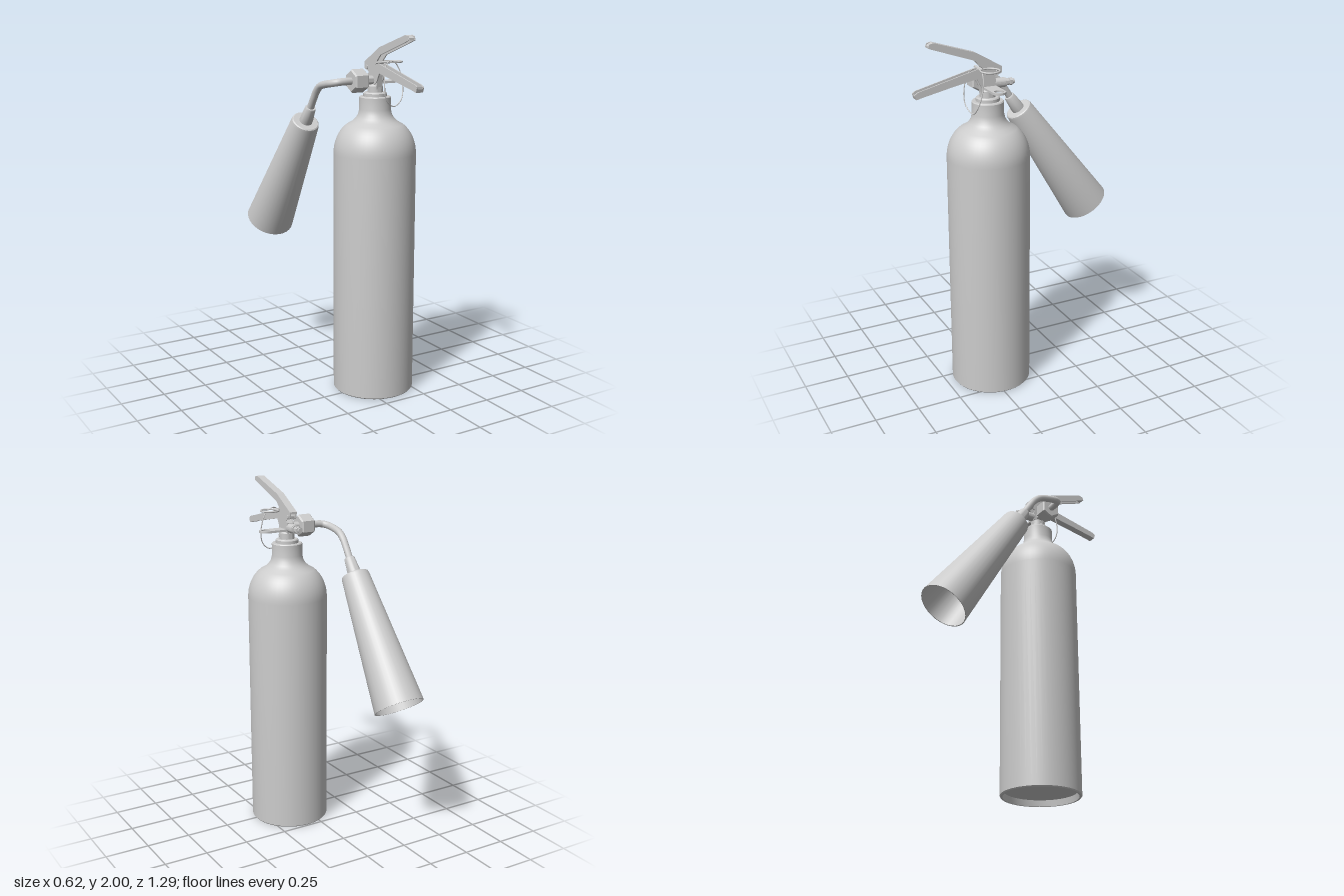
import * as THREE from 'three';
import { toCreasedNormals } from 'three/addons/utils/BufferGeometryUtils.js';

const CX = 0.085, CZ = 0.23; // bottle axis
const PORT_Y = 1.747;        // height of the hose outlet

export function createModel() {
  const root = new THREE.Group();
  const mat = new THREE.MeshStandardMaterial({ color: 0xcccccc });

  const add = (name, geo, x = 0, y = 0, z = 0, parent = root) => {
    const m = new THREE.Mesh(geo, mat);
    m.name = name;
    m.position.set(x, y, z);
    parent.add(m);
    return m;
  };
  const lathe = (pts, segs = 40) => toCreasedNormals(
    new THREE.LatheGeometry(pts.map(p => new THREE.Vector2(...p)), segs), Math.PI / 6);
  // Capped cylinders lying along x or z
  const rod = (r, len, axis, segs = 20) => {
    const g = new THREE.CylinderGeometry(r, r, len, segs);
    if (axis === 'x') g.rotateZ(Math.PI / 2);
    if (axis === 'z') g.rotateX(Math.PI / 2);
    return toCreasedNormals(g, Math.PI / 5);
  };
  const tube = (pts, r, segs, closed = false) => new THREE.TubeGeometry(
    new THREE.CatmullRomCurve3(pts.map(p => new THREE.Vector3(...p)), closed, 'centripetal'), segs, r, 12, closed);
  // Side profile in (z, y), extruded to a width centred on x
  const profile = (name, pts, width, x, parent = root) => {
    const g = new THREE.ExtrudeGeometry(new THREE.Shape(pts.map(p => new THREE.Vector2(...p))),
      { depth: width, bevelEnabled: false });
    g.rotateY(-Math.PI / 2);
    return add(name, g, x + width / 2, 0, 0, parent);
  };

  // Bottle with recessed underside, rounded shoulder and flared neck
  const bottle = [[0, 0.035], [0.205, 0.035], [0.21, 0], [0.22, 0], [0.225, 0.006], [0.225, 1.35]];
  for (let i = 1; i <= 9; i++) {
    const a = i / 9 * 1.02;
    bottle.push([0.075 + 0.15 * Math.cos(a), 1.35 + 0.185 * Math.sin(a)]);
  }
  bottle.push([0.124, 1.524], [0.104, 1.543], [0.092, 1.563], [0.086, 1.59], [0.086, 1.655], [0.082, 1.66], [0, 1.66]);
  add('bottle', lathe(bottle, 48), CX, 0, CZ);

  // Valve collar and stem
  add('valveCollar', lathe([[0, 1.655], [0.064, 1.655], [0.064, 1.676], [0.058, 1.682],
    [0.042, 1.682], [0.042, 1.715], [0.03, 1.725], [0, 1.725]], 32), CX, 0, CZ);
  profile('valveBody', [[0.27, 1.7], [0.28, 1.77], [0.285, 1.82], [0.24, 1.83], [0.205, 1.79],
    [0.19, 1.775], [0.19, 1.715], [0.21, 1.7]], 0.036, CX);
  add('valveStem', new THREE.CylinderGeometry(0.012, 0.012, 0.06, 16), CX, 1.82, 0.225);

  // Safety fitting pointing to the back
  [[0.026, 0.06, 0.165], [0.018, 0.03, 0.123], [0.024, 0.012, 0.132], [0.012, 0.03, 0.105],
    [0.021, 0.016, 0.097], [0.014, 0.012, 0.083]].forEach(([r, len, z], i) =>
    add('reliefFitting' + i, rod(r, len, 'z', i === 4 ? 6 : 20), CX, PORT_Y, z));

  // Grip levers as folded channels: two cheeks and a web
  const lever = (name, outline, edge, dy) => {
    const g = new THREE.Group();
    g.name = name;
    root.add(g);
    for (const s of [-1, 1]) profile(name + 'Cheek', outline, 0.007, CX + s * 0.0185, g);
    const inner = edge.map(([z, y]) => [z, y + dy]).reverse();
    profile(name + 'Web', [...edge, ...inner], 0.044, CX, g);
  };
  lever('upperLever',
    [[0.565, 1.975], [0.558, 1.995], [0.535, 2], [0.3, 1.925], [0.155, 1.84], [0.158, 1.805], [0.2, 1.79],
      [0.245, 1.815], [0.285, 1.86], [0.31, 1.885], [0.54, 1.965]],
    [[0.562, 1.985], [0.535, 2], [0.3, 1.925], [0.155, 1.84]], -0.012);
  lever('lowerHandle',
    [[0.63, 1.755], [0.645, 1.742], [0.637, 1.717], [0.612, 1.724], [0.45, 1.758], [0.3, 1.787], [0.275, 1.74],
      [0.25, 1.72], [0.19, 1.72], [0.19, 1.775], [0.23, 1.835], [0.285, 1.84]],
    [[0.643, 1.735], [0.637, 1.717], [0.612, 1.724], [0.45, 1.758], [0.3, 1.787]], 0.012);
  add('leverPivot', rod(0.012, 0.056, 'x'), CX, 1.812, 0.18);

  // Safety pin with pull ring and hanging seal loop
  add('safetyPin', rod(0.007, 0.09, 'x', 12), 0.095, 1.842, 0.285);
  const ring = add('pullRing', new THREE.TorusGeometry(0.05, 0.005, 10, 32), 0.178, 1.842, 0.257);
  ring.rotation.x = Math.PI / 2;
  add('sealLoop', tube([[0.125, 1.85, 0.31], [0.175, 1.83, 0.3], [0.203, 1.745, 0.312], [0.185, 1.65, 0.335],
    [0.135, 1.612, 0.34], [0.075, 1.65, 0.355], [0.062, 1.73, 0.355], [0.08, 1.82, 0.335]], 0.003, 64, true));

  // Flat side bracket ending in an eye
  const eye = new THREE.Shape();
  eye.moveTo(0.09, -0.037);
  eye.lineTo(0.21, -0.037);
  eye.absarc(0.22, 0, 0.037, -Math.PI / 2, Math.PI / 2, false);
  eye.lineTo(0.09, 0.037);
  eye.holes.push(new THREE.Path().absarc(0.22, 0, 0.025, 0, Math.PI * 2, true));
  const bracket = new THREE.ExtrudeGeometry(eye, { depth: 0.012, bevelEnabled: false, curveSegments: 20 });
  bracket.rotateX(-Math.PI / 2);
  add('eyeBracket', bracket, 0, 1.728, 0.228);

  // Outlet, hex nut with chamfered ends and bent discharge pipe
  add('outlet', rod(0.024, 0.09, 'x'), 0.05, PORT_Y, CZ);
  const nut = new THREE.LatheGeometry([[0, -0.042], [0.055, -0.042], [0.063, -0.034], [0.063, 0.034],
    [0.055, 0.042], [0, 0.042]].map(p => new THREE.Vector2(...p)), 6);
  nut.rotateY(Math.PI / 2); // a corner points up once laid along x
  nut.rotateZ(Math.PI / 2);
  add('hexNut', toCreasedNormals(nut, 0.2), -0.027, PORT_Y, CZ);
  add('dischargePipe', tube([[-0.05, PORT_Y, CZ], [-0.115, PORT_Y, CZ], [-0.148, 1.744, 0.222], [-0.167, 1.738, 0.195],
    [-0.172, 1.732, 0.16], [-0.172, 1.714, 0.085], [-0.172, 1.685, 0.046], [-0.172, 1.64, 0.013],
    [-0.172, 1.575, -0.03]], 0.02, 64));

  // Hollow discharge horn with its sleeve, along a slanted axis
  const horn = new THREE.Group();
  horn.name = 'hornAssembly';
  horn.position.set(-0.172, 1.505, -0.077);
  horn.quaternion.setFromUnitVectors(new THREE.Vector3(0, 1, 0), new THREE.Vector3(0, -0.645, -0.45).normalize());
  root.add(horn);
  add('hornSleeve', lathe([[0, -0.1], [0.027, -0.1], [0.03, -0.094], [0.037, -0.02], [0.037, 0.005]], 24), 0, 0, 0, horn);
  add('horn', lathe([[0, 0], [0.07, 0], [0.076, 0.004], [0.079, 0.014], [0.139, 0.786], [0.134, 0.786],
    [0.072, 0.02], [0, 0.02]], 32), 0, 0, 0, horn);

  return root;
}
